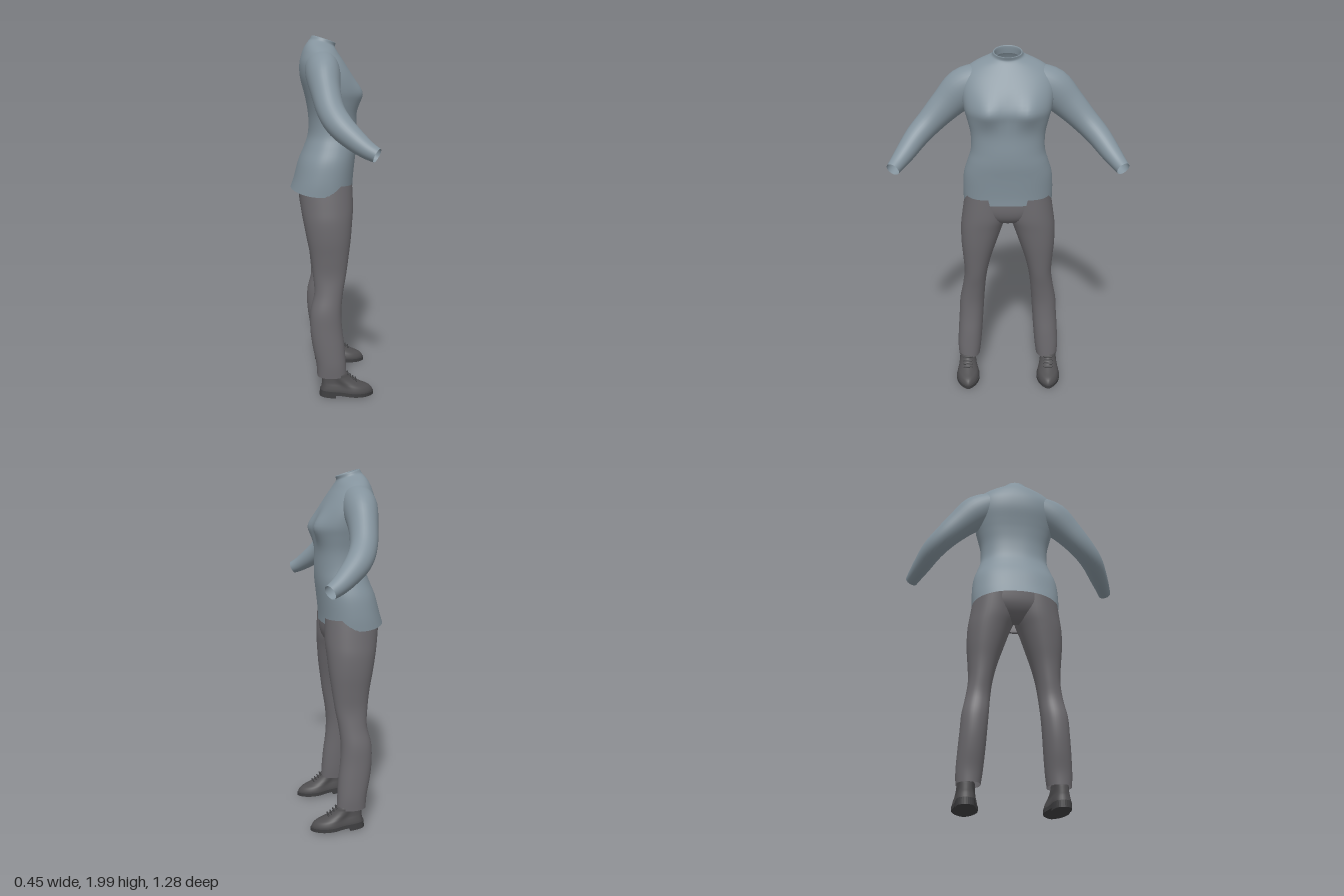
import * as THREE from 'three';

const knit = new THREE.MeshStandardMaterial({ color: 0x84939d, side: THREE.DoubleSide });
knit.name = 'blue grey knit';
const cloth = new THREE.MeshStandardMaterial({ color: 0x6b696d, side: THREE.DoubleSide });
cloth.name = 'grey trouser cloth';
const leather = new THREE.MeshStandardMaterial({ color: 0x4e4d4f, side: THREE.DoubleSide });
leather.name = 'dark leather';
const rubber = new THREE.MeshStandardMaterial({ color: 0x3f3f41 });
rubber.name = 'dark rubber';

const V = (x, y, z) => new THREE.Vector3(x, y, z);

// Skin a list of rings (arrays of Vector3) into one smooth surface; side -1 mirrors it in z
function skin(rings, side = 1) {
  const n = rings[0].length, pos = [], idx = [];
  for (const ring of rings) for (const p of ring) pos.push(p.x, p.y, p.z * side);
  for (let i = 0; i < rings.length - 1; i++) {
    for (let j = 0; j < n; j++) {
      const k = (j + 1) % n;
      const a = i * n + j, b = i * n + k, c = a + n, d = b + n;
      if (side > 0) idx.push(a, c, b, b, c, d);
      else idx.push(a, b, c, b, d, c);
    }
  }
  const g = new THREE.BufferGeometry();
  g.setAttribute('position', new THREE.Float32BufferAttribute(pos, 3));
  g.setIndex(idx);
  g.computeVertexNormals();
  return g;
}

// Fill in between key rows with a smooth spline
function refine(rows, steps = 4) {
  const out = [], at = (i) => rows[Math.min(rows.length - 1, Math.max(0, i))];
  for (let i = 0; i < rows.length - 1; i++) {
    for (let s = 0; s < steps; s++) {
      const t = s / steps;
      out.push(rows[i].map((p1, c) => {
        const p0 = at(i - 1)[c], p2 = at(i + 1)[c], p3 = at(i + 2)[c];
        const m1 = (p2 - p0) / 2, m2 = (p3 - p1) / 2;
        return p1 + m1 * t + (3 * (p2 - p1) - 2 * m1 - m2) * t * t + (2 * (p1 - p2) + m1 + m2) * t ** 3;
      }));
    }
  }
  out.push(rows[rows.length - 1]);
  return out;
}

// Horizontal rounded ring between back/front x and low/high z; n sets the squareness
function ring(y, x0, x1, z0, z1, n = 2, count = 40) {
  const pw = (v) => Math.sign(v) * Math.abs(v) ** (2 / n);
  return Array.from({ length: count }, (_, j) => {
    const a = (j / count) * Math.PI * 2;
    return V((x0 + x1) / 2 + pw(Math.cos(a)) * (x1 - x0) / 2, y, (z0 + z1) / 2 + pw(Math.sin(a)) * (z1 - z0) / 2);
  });
}

function add(parent, name, geometry, material) {
  const m = new THREE.Mesh(geometry, material);
  m.name = name;
  parent.add(m);
  return m;
}

// Sweater body: y, back x, front x, half width, squareness, forward tilt
function sweaterBody() {
  const rows = refine([
    [1.155, -0.23, 0.118, 0.25, 2.3, 0],
    [1.22, -0.212, 0.12, 0.252, 2.3, 0],
    [1.32, -0.185, 0.13, 0.245, 2.3, 0],
    [1.4, -0.152, 0.14, 0.222, 2.3, 0],
    [1.47, -0.13, 0.142, 0.202, 2.3, 0],
    [1.56, -0.127, 0.138, 0.202, 2.4, 0],
    [1.64, -0.138, 0.14, 0.22, 2.5, 0],
    [1.7, -0.152, 0.142, 0.236, 2.5, 0],
    [1.78, -0.172, 0.115, 0.248, 2.4, 0],
    [1.85, -0.175, 0.075, 0.245, 2.2, 0],
    [1.9, -0.163, 0.045, 0.212, 2, 0.004],
    [1.93, -0.148, 0.03, 0.165, 2, 0.01],
    [1.95, -0.132, 0.022, 0.115, 2, 0.015],
    [1.963, -0.118, 0.02, 0.086, 2, 0.018],
    [1.98, -0.107, 0.025, 0.077, 2, 0.02],
    [1.976, -0.1, 0.018, 0.07, 2, 0.02],
    [1.94, -0.105, 0.01, 0.07, 2, 0.02],
  ]);
  return skin(rows.map(([y, x0, x1, w, n, tilt], i) => ring(y, x0, x1, -w, w, n, 56).map((p) => {
    const c = (p.x - (x0 + x1) / 2) / ((x1 - x0) / 2);
    p.y -= tilt * c;
    if (i < 4) p.y += (1 - i / 4) * (0.026 * c * c - 0.012); // wavy hem
    if (c > 0) { // chest
      p.x += 0.032 * c * Math.exp(-(((y - 1.69) / 0.07) ** 2)) * Math.exp(-(((Math.abs(p.z) - 0.11) / 0.07) ** 2));
    }
    return p;
  })));
}

// Sleeve: centre x, y, z, radius across x, radius in the other direction
function sleeve(side) {
  const rows = refine([
    [-0.06, 1.835, 0.13, 0.09, 0.09],
    [-0.058, 1.785, 0.235, 0.09, 0.107],
    [-0.05, 1.7, 0.33, 0.076, 0.088],
    [-0.03, 1.61, 0.42, 0.07, 0.072],
    [0.012, 1.54, 0.49, 0.067, 0.064],
    [0.08, 1.475, 0.545, 0.056, 0.054],
    [0.135, 1.433, 0.583, 0.045, 0.044],
    [0.178, 1.409, 0.607, 0.037, 0.037],
  ]);
  const centres = rows.map((r) => V(r[0], r[1], r[2]));
  return skin(rows.map((r, i) => {
    const t = centres[Math.min(i + 1, rows.length - 1)].clone().sub(centres[Math.max(i - 1, 0)]).normalize();
    const u = V(1, 0, 0).addScaledVector(t, -t.x).normalize();
    const v = u.clone().cross(t);
    return Array.from({ length: 32 }, (_, j) => {
      const a = (j / 32) * Math.PI * 2;
      return centres[i].clone().addScaledVector(u, Math.cos(a) * r[3]).addScaledVector(v, Math.sin(a) * r[4]);
    });
  }), side);
}

// Trouser leg: y, back x, front x, inner z, outer z
function leg(side) {
  const rows = refine([
    [0.13, -0.095, 0.07, 0.175, 0.305],
    [0.2, -0.1, 0.066, 0.166, 0.308],
    [0.3, -0.12, 0.058, 0.157, 0.303],
    [0.4, -0.132, 0.046, 0.15, 0.296],
    [0.5, -0.13, 0.042, 0.143, 0.289],
    [0.6, -0.108, 0.052, 0.135, 0.27],
    [0.7, -0.114, 0.07, 0.122, 0.257],
    [0.8, -0.126, 0.084, 0.098, 0.262],
    [0.9, -0.146, 0.097, 0.065, 0.27],
    [1.0, -0.165, 0.106, 0.03, 0.27],
    [1.08, -0.178, 0.112, 0.0, 0.26],
    [1.2, -0.19, 0.108, -0.01, 0.242],
  ]);
  return skin(rows.map(([y, x0, x1, z0, z1]) => ring(y, x0, x1, z0, z1, 2.2)), side);
}

// Seat joining the two legs: y, back x, front x, half width
function seat() {
  const rows = refine([
    [1.035, -0.07, 0.03, 0.05],
    [1.045, -0.12, 0.07, 0.12],
    [1.08, -0.16, 0.1, 0.2],
    [1.13, -0.185, 0.112, 0.245],
    [1.2, -0.195, 0.11, 0.24],
  ]);
  return skin(rows.map(([y, x0, x1, w]) => ring(y, x0, x1, -w, w, 2.3)));
}

// Shoe outline, seen from above, running from the toe through +z
const half = [[0.195, 0.035], [0.15, 0.062], [0.095, 0.07], [0.03, 0.055], [-0.04, 0.048], [-0.075, 0.034]];
const outline = new THREE.CatmullRomCurve3([
  V(0.218, 0, 0), ...half.map(([x, z]) => V(x, 0, z)), V(-0.088, 0, 0),
  ...half.slice().reverse().map(([x, z]) => V(x, 0, -z)),
], true).getPoints(48).slice(0, -1);

function slab(points, depth, y) {
  const shape = new THREE.Shape(points.map((p) => new THREE.Vector2(p.x, p.z)));
  return new THREE.ExtrudeGeometry(shape, { depth, bevelEnabled: false }).rotateX(-Math.PI / 2).translate(0, y, 0);
}

function shoe(side) {
  const g = new THREE.Group();
  g.name = side > 0 ? 'rightShoe' : 'leftShoe';
  // Upper: y, heel x, toe x, width factor
  const rows = refine([
    [0.04, -0.084, 0.212, 0.95],
    [0.055, -0.082, 0.21, 0.95],
    [0.075, -0.08, 0.192, 0.87],
    [0.09, -0.08, 0.15, 0.78],
    [0.108, -0.08, 0.105, 0.72],
    [0.128, -0.08, 0.075, 0.68],
    [0.148, -0.078, 0.055, 0.62],
    [0.15, -0.03, 0.01, 0.1],
  ]);
  add(g, 'shoeUpper', skin(rows.map(([y, x0, x1, w]) => outline.map((p) =>
    V(x0 + ((p.x + 0.088) / 0.306) * (x1 - x0), y, p.z * w)))), leather);
  add(g, 'shoeSole', slab(outline, 0.02, 0.025), rubber);
  const heel = outline.map((p) => V(Math.min(p.x, 0.0), 0, p.z)).filter((p, i, l) => p.x < 0 || l[(i + 1) % l.length].x < 0 || l[(i + l.length - 1) % l.length].x < 0);
  add(g, 'shoeHeel', slab(heel, 0.018, 0.008), rubber);
  // Laces across the instep
  for (const [x, y] of [[0.062, 0.142], [0.079, 0.127], [0.095, 0.116], [0.112, 0.106]]) {
    const lace = add(g, 'lace', new THREE.CapsuleGeometry(0.0045, 0.045, 3, 8), rubber);
    lace.rotation.x = Math.PI / 2;
    lace.position.set(x, y, 0);
  }
  g.rotation.z = -0.085;
  g.position.set(0.003, 0.003, 0.25 * side);
  g.rotation.y = side * 0.04;
  return g;
}

export function createModel() {
  const model = new THREE.Group();
  model.name = 'clothedFigure';
  add(model, 'sweaterBody', sweaterBody(), knit);
  add(model, 'trouserSeat', seat(), cloth);
  for (const side of [1, -1]) {
    const label = side > 0 ? 'right' : 'left';
    add(model, label + 'Sleeve', sleeve(side), knit);
    add(model, label + 'TrouserLeg', leg(side), cloth);
    model.add(shoe(side));
  }
  return model;
}
